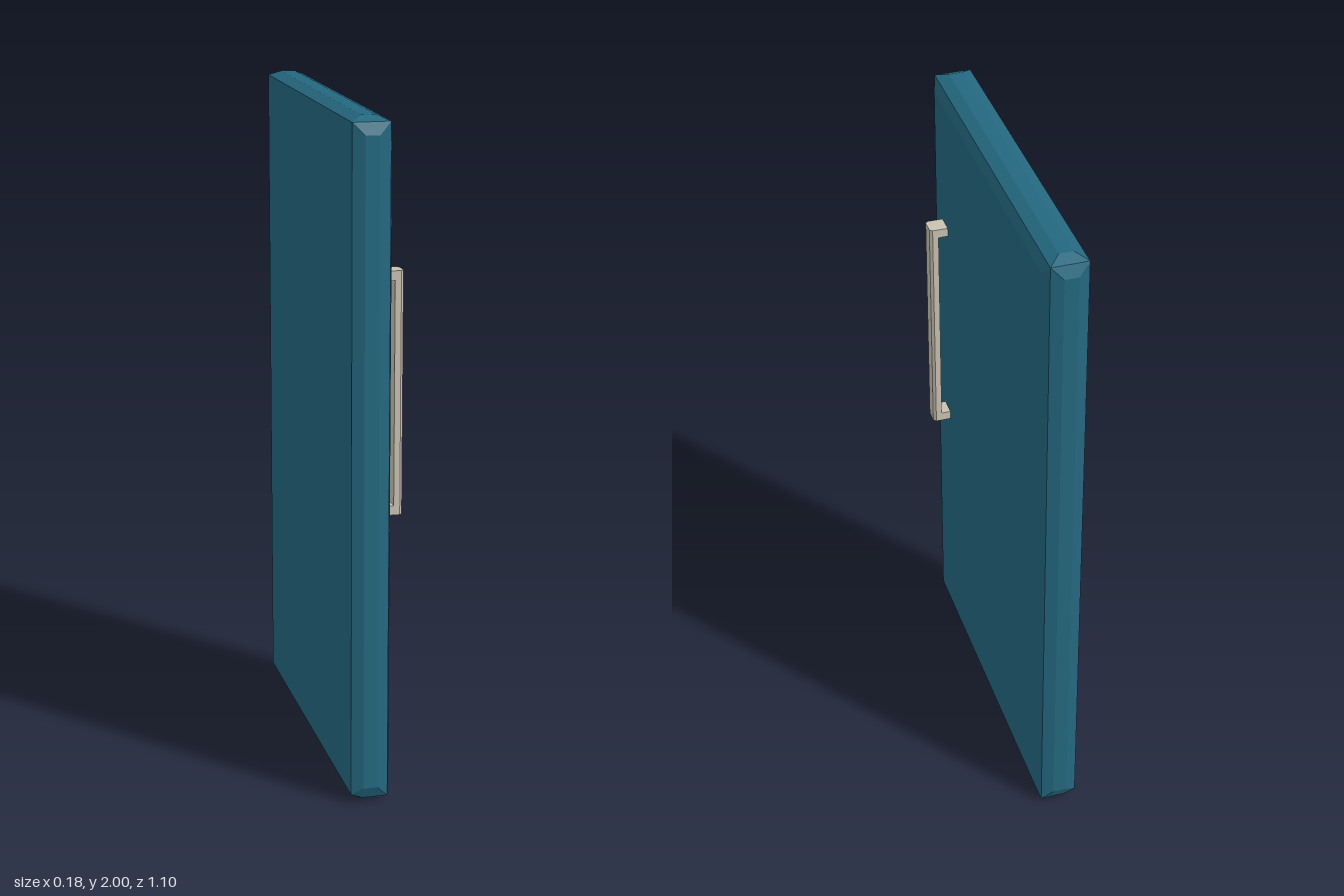
import * as THREE from 'three';

const paint = new THREE.MeshStandardMaterial({ color: 0x24687f, flatShading: true });
paint.name = 'teal paint';
const metal = new THREE.MeshStandardMaterial({ color: 0xc9c2b2, flatShading: true });
metal.name = 'warm pale metal';

// Cross-sections of the slab from back to front: x, side inset, bottom inset,
// and whether the corners are clipped into facets.
const SECTIONS = [
  { x: -0.088, side: 0.015, bottom: 0.028, clipped: false },
  { x: -0.055, side: 0, bottom: 0, clipped: true },
  { x: -0.013, side: 0, bottom: 0, clipped: true },
  { x: 0.021, side: 0.015, bottom: 0.015, clipped: false },
  { x: 0.033, side: 0.05, bottom: 0.05, clipped: false },
];

// Twelve points round one section, three for each corner.
function ring({ x, side, bottom, clipped }) {
  const points = [];
  for (const [sz, sy] of [[1, 1], [1, -1], [-1, -1], [-1, 1]]) {
    const corner = clipped
      ? [[0.05, 0], [0.015, 0.015], [0, 0.05]]
      : Array(3).fill([side, sy > 0 ? side : bottom]);
    if (sz * sy < 0) corner.reverse();
    for (const [dz, dy] of corner) {
      points.push(new THREE.Vector3(x, 1 + sy * (1 - dy), sz * (0.55 - dz)));
    }
  }
  return points;
}

function slabGeometry() {
  const rings = SECTIONS.map(ring);
  const vertices = [];
  const face = (a, b, c) => {
    if (new THREE.Triangle(a, b, c).getArea() < 1e-9) return;
    for (const p of [a, b, c]) vertices.push(p.x, p.y, p.z);
  };
  // Bevelled rim
  for (let r = 0; r < rings.length - 1; r++) {
    const back = rings[r], front = rings[r + 1];
    back.forEach((p, i) => {
      const j = (i + 1) % back.length;
      face(p, back[j], front[i]);
      face(back[j], front[j], front[i]);
    });
  }
  // Flat back and front panels
  const back = rings[0], front = rings[rings.length - 1];
  for (let i = 1; i < back.length - 1; i++) {
    face(back[0], back[i + 1], back[i]);
    face(front[0], front[i], front[i + 1]);
  }
  const geometry = new THREE.BufferGeometry();
  geometry.setAttribute('position', new THREE.Float32BufferAttribute(vertices, 3));
  geometry.computeVertexNormals();
  return geometry;
}

// Upright bar with its two outer edges chamfered
function gripGeometry(height) {
  const c = 0.008, x0 = 0.062, x1 = 0.088, h = 0.028;
  const section = new THREE.Shape([
    [x0, -h], [x1 - c, -h], [x1, -h + c], [x1, h - c], [x1 - c, h], [x0, h],
  ].map(([x, y]) => new THREE.Vector2(x, y)));
  return new THREE.ExtrudeGeometry(section, { depth: height, bevelEnabled: false })
    .rotateX(-Math.PI / 2);
}

export function createModel() {
  const model = new THREE.Group();
  model.name = 'door';
  const add = (parent, name, geometry, material, x = 0, y = 0, z = 0) => {
    const mesh = new THREE.Mesh(geometry, material);
    mesh.name = name;
    mesh.position.set(x, y, z);
    parent.add(mesh);
  };

  add(model, 'doorPanel', slabGeometry(), paint);

  // Pull handle: grip bar on two short mounts
  const handle = new THREE.Group();
  handle.name = 'handle';
  handle.position.z = 0.406;
  const bottom = 0.838, top = 1.552, mount = 0.028;
  add(handle, 'gripBar', gripGeometry(top - bottom), metal, 0, bottom);
  const mountGeometry = new THREE.BoxGeometry(0.032, mount, 0.056);
  add(handle, 'upperMount', mountGeometry, metal, 0.047, top - mount / 2);
  add(handle, 'lowerMount', mountGeometry, metal, 0.047, bottom + mount / 2);
  model.add(handle);

  return model;
}
